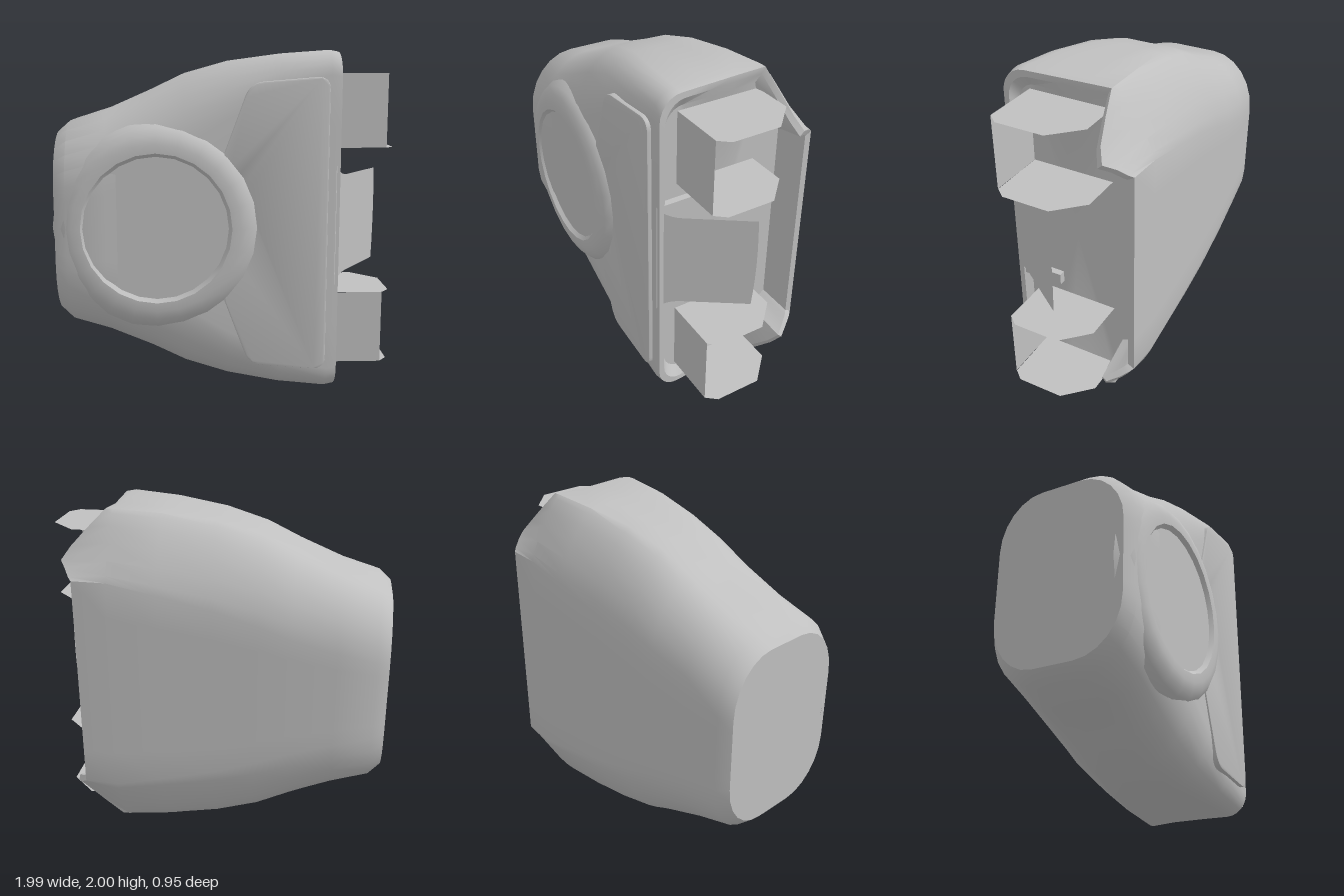
import * as THREE from 'three';
import { toCreasedNormals } from 'three/addons/utils/BufferGeometryUtils.js';

const grey = new THREE.MeshStandardMaterial({ color: 0xc0c0c0, side: THREE.DoubleSide });
grey.name = 'plain grey';

// Stations along x: x, half height, front z, back z, front corner (y, z), back corner (y, z), back corner sharpness
const stations = [
  [-0.99, 0.535, 0.40, 0.38, 0.32, 0.28, 0.32, 0.26, 1.0],
  [-0.92, 0.595, 0.44, 0.425, 0.36, 0.30, 0.36, 0.28, 1.0],
  [-0.70, 0.665, 0.435, 0.445, 0.38, 0.30, 0.38, 0.29, 1.05],
  [-0.45, 0.775, 0.425, 0.462, 0.40, 0.30, 0.42, 0.30, 1.15],
  [-0.25, 0.87, 0.42, 0.465, 0.40, 0.28, 0.44, 0.29, 1.25],
  [0.0, 0.94, 0.415, 0.468, 0.32, 0.24, 0.43, 0.27, 1.4],
  [0.30, 0.98, 0.408, 0.47, 0.20, 0.17, 0.40, 0.24, 1.55],
  [0.58, 1.0, 0.40, 0.472, 0.14, 0.13, 0.36, 0.225, 1.7],
];
const ARC = 6;

// Upper half of a cross-section, from front centre over the top to back centre
function halfSection([x, h, f, b, fy, fz, by, bz, p]) {
  const pts = [];
  for (let i = 0; i < 3; i++) pts.push([x, (h - fy) * i / 3, f]);
  for (let k = 0; k <= ARC; k++) {
    const t = k / ARC * Math.PI / 2;
    pts.push([x, h - fy + fy * Math.sin(t), f - fz + fz * Math.cos(t)]);
  }
  const z0 = f - fz, z1 = -(b - bz);
  for (let i = 1; i < 3; i++) pts.push([x, h, z0 + (z1 - z0) * i / 3]);
  for (let k = 0; k <= ARC; k++) {
    const t = k / ARC * Math.PI / 2;
    pts.push([x, h - by + by * Math.cos(t) ** p, -(b - bz) - bz * Math.sin(t) ** p]);
  }
  for (let i = 1; i <= 3; i++) pts.push([x, (h - by) * (1 - i / 3), -b]);
  return pts;
}

// Mirror the half section about the middle height
const closeRing = half => [...half, ...half.slice(1, -1).reverse().map(([x, y, z]) => [x, -y, z])];

function loft(rings) {
  const n = rings[0].length, pos = [], idx = [];
  rings.forEach(r => r.forEach(([x, y, z]) => pos.push(x, y + 1, z)));
  for (let r = 0; r < rings.length - 1; r++) {
    for (let i = 0; i < n; i++) {
      const a = r * n + i, b = r * n + (i + 1) % n;
      idx.push(a, b, a + n, b, b + n, a + n);
    }
  }
  // flat caps at both ends
  const last = (rings.length - 1) * n, c = rings.length * n;
  pos.push(rings[0][0][0], 1, 0, rings.at(-1)[0][0], 1, 0);
  for (let i = 0; i < n; i++) {
    const j = (i + 1) % n;
    idx.push(c, j, i, c + 1, last + i, last + j);
  }
  const g = new THREE.BufferGeometry();
  g.setAttribute('position', new THREE.Float32BufferAttribute(pos, 3));
  g.setIndex(idx);
  return toCreasedNormals(g, 0.6);
}

function bodyGeometry() {
  const halves = stations.map(halfSection);
  // rim of the opening: flush at front and top, longer at the back with pointed corner flaps
  const flapX = [0.62, 0.72, 0.82, 0.87, 0.83, 0.80, 0.78];
  const dropY = [0, 0.08, 0.13, 0.12, 0.06, 0.02, 0];
  const dropZ = [0, 0, 0.02, 0.04, 0.03, 0.02, 0.012];
  const start = 3 + ARC + 1 + 2;
  const rim = halves.at(-1).map(([, y, z], i) => {
    if (i < start) return [0.615 + 0.06 * z, y * 0.99, z * 0.985];
    const k = Math.min(i - start, ARC);
    return [flapX[k], y - dropY[k], z + dropZ[k]];
  });
  const lip = rim.map(([x, y, z]) => [x, y * 0.965, z * 0.92]);
  const wall = lip.map(([, y, z]) => [0.59, y * 0.94, z * 0.93]);
  return loft([...halves, rim, lip, wall].map(closeRing));
}

// Raised pad with a curved bite that follows the round dial
function padGeometry() {
  const s = new THREE.Shape();
  s.moveTo(0.56, 0.22);
  s.lineTo(0.56, 1.78);
  s.quadraticCurveTo(0.56, 1.84, 0.50, 1.84);
  s.lineTo(0.20, 1.815);
  s.quadraticCurveTo(0.13, 1.81, 0.10, 1.74);
  s.lineTo(-0.015, 1.43);
  s.quadraticCurveTo(-0.03, 1.39, 0.01, 1.34);
  s.quadraticCurveTo(0.125, 1.19, 0.125, 1.0);
  s.quadraticCurveTo(0.125, 0.81, 0.01, 0.66);
  s.quadraticCurveTo(-0.03, 0.61, -0.015, 0.57);
  s.lineTo(0.10, 0.26);
  s.quadraticCurveTo(0.13, 0.19, 0.20, 0.185);
  s.lineTo(0.50, 0.16);
  s.quadraticCurveTo(0.56, 0.16, 0.56, 0.22);
  const g = new THREE.ExtrudeGeometry(s, {
    depth: 0.06, bevelThickness: 0.008, bevelSize: 0.008, bevelSegments: 2, curveSegments: 6,
  });
  return toCreasedNormals(g.translate(0, 0, 0.357), 0.5);
}

// Sloping tongue between the prongs, flared where it leaves the rim
function tongueGeometry() {
  const s = new THREE.Shape();
  s.moveTo(0.615, 0.65);
  s.quadraticCurveTo(0.64, 0.715, 0.70, 0.715);
  s.lineTo(0.92, 0.72);
  s.quadraticCurveTo(0.935, 1.0, 0.925, 1.29);
  s.lineTo(0.70, 1.29);
  s.quadraticCurveTo(0.64, 1.29, 0.615, 1.355);
  const g = new THREE.ShapeGeometry(s, 6);
  const p = g.attributes.position;
  for (let i = 0; i < p.count; i++) p.setZ(i, 0.395 - (p.getX(i) - 0.62) * 1.42);
  g.computeVertexNormals();
  return g;
}

// Open prong: six-sided plates above and below, joined by a front plate
function makeProng(y0, y1) {
  const prong = new THREE.Group();
  const s = new THREE.Shape([[0.59, 0.23], [0.83, 0.23], [0.98, 0.08], [0.98, -0.2], [0.93, -0.26], [0.59, -0.26]]
    .map(([x, y]) => new THREE.Vector2(x, y)));
  [y0, y1].forEach((y, i) => {
    const plate = new THREE.Mesh(new THREE.ShapeGeometry(s).rotateX(-Math.PI / 2), grey);
    plate.position.y = y;
    plate.name = i ? 'prongTop' : 'prongBottom';
    prong.add(plate);
  });
  const front = new THREE.Mesh(new THREE.PlaneGeometry(0.34, y1 - y0), grey);
  front.position.set(0.76, (y0 + y1) / 2, 0.262);
  front.name = 'prongFront';
  prong.add(front);
  return prong;
}

export function createModel() {
  const model = new THREE.Group();
  const add = (name, geometry) => {
    const mesh = new THREE.Mesh(geometry, grey);
    mesh.name = name;
    model.add(mesh);
    return mesh;
  };
  add('body', bodyGeometry());
  add('raisedPad', padGeometry());
  add('tongue', tongueGeometry());

  // Round dial: soft mound, crisp inner edge and sunken face
  const profile = [[0.60, -0.09], [0.57, -0.045], [0.53, -0.012], [0.48, 0.004], [0.43, 0.004], [0.41, -0.02], [0, -0.02]]
    .map(([r, y]) => new THREE.Vector2(r, y));
  const dial = add('roundDial', toCreasedNormals(new THREE.LatheGeometry(profile, 24).rotateX(Math.PI / 2), 0.6));
  dial.position.set(-0.41, 1, 0.458);
  dial.rotation.y = -0.025;

  // Pair of prongs and small tongue supports, above and below the middle
  for (const side of [1, -1]) {
    const prong = side > 0 ? makeProng(1.44, 1.87) : makeProng(0.135, 0.57);
    prong.name = side > 0 ? 'upperProng' : 'lowerProng';
    model.add(prong);
    const support = add('tongueSupport', new THREE.BoxGeometry(0.05, 0.07, 0.25));
    support.position.set(0.605, 1 + side * 0.32, 0.235);
  }
  return model;
}
